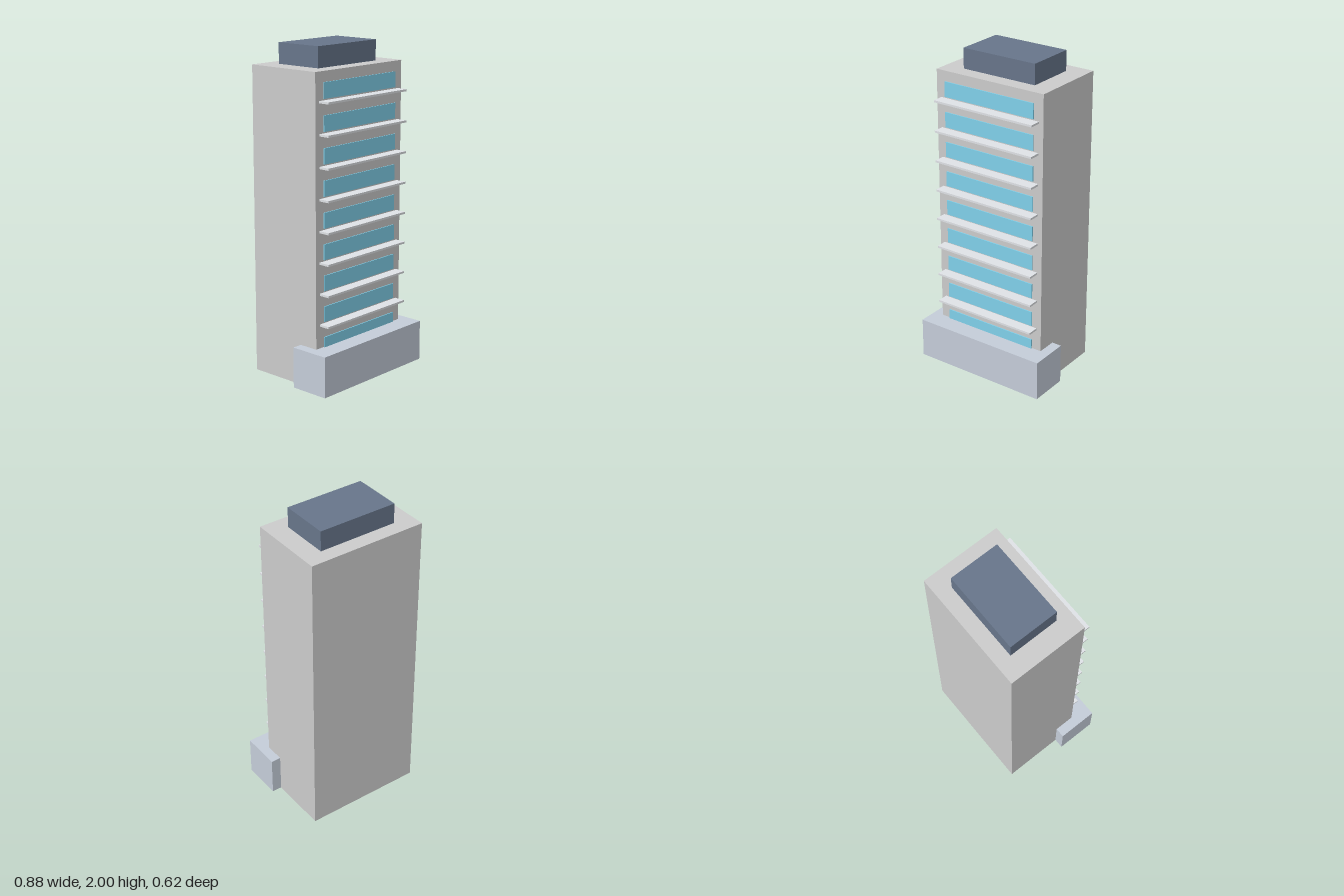
import * as THREE from 'three';

const material = (color) => new THREE.MeshStandardMaterial({ color });

// Box given by its width (centred on x), height range and depth range
function box(name, width, [y0, y1], [z0, z1], mat) {
  const mesh = new THREE.Mesh(new THREE.BoxGeometry(width, y1 - y0, z1 - z0), mat);
  mesh.position.set(0, (y0 + y1) / 2, (z0 + z1) / 2);
  mesh.name = name;
  return mesh;
}

export function createModel() {
  const model = new THREE.Group();
  model.name = 'towerBlock';

  const wall = material(0xcccccc);
  const podium = material(0xc4ccd8);
  const roof = material(0x67758a);
  const glass = material(0x80d0ea);
  const slab = material(0xdfe2e6);

  // Main tower, entrance podium and rooftop plant room
  model.add(box('tower', 0.75, [0, 1.875], [-0.3125, 0.1875], wall));
  model.add(box('podium', 0.875, [0, 0.25], [0.0625, 0.3125], podium));
  model.add(box('roofHouse', 0.5, [1.875, 2], [-0.21875, 0.09375], roof));

  // Window band on every floor; balcony slab on each floor above the podium
  const floors = 9;
  const floorHeight = 0.1875;
  for (let i = 0; i < floors; i++) {
    const y = 0.21875 + i * floorHeight;
    const floor = new THREE.Group();
    floor.name = `floor${i + 1}`;
    floor.add(box('windowBand', 0.625, [y, y + 0.09375], [0.1906, 0.1969], glass));
    if (i > 0) {
      floor.add(box('balcony', 0.6875, [y - 0.0219, y - 0.0094], [0.1825, 0.2575], slab));
    }
    model.add(floor);
  }

  return model;
}
